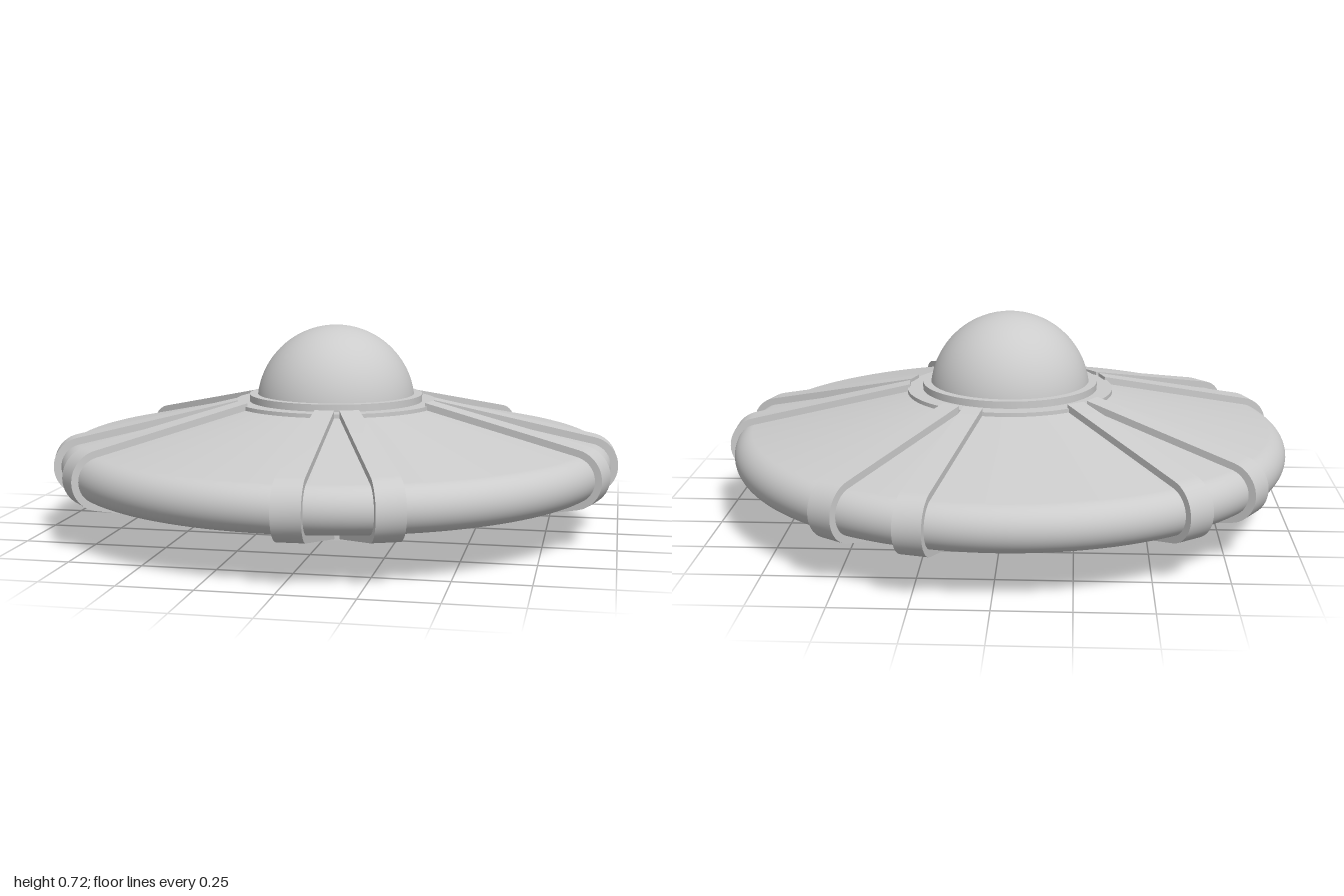
import * as THREE from 'three';
import { toCreasedNormals } from 'three/addons/utils/BufferGeometryUtils.js';

const material = new THREE.MeshStandardMaterial({ color: 0xcccccc });
const MID_Y = 0.24, RIM_R = 0.905, RIM = 0.08, SLOPE = THREE.MathUtils.degToRad(12);

// Half-section of the saucer, bottom to top, pushed out along its normal.
function section(startR, offset, arcSteps) {
  const arc = [];
  for (let i = 0; i <= arcSteps; i++) {
    const a = (SLOPE - Math.PI / 2) + (i / arcSteps) * (Math.PI - 2 * SLOPE);
    const r = RIM + offset;
    arc.push(new THREE.Vector2(RIM_R + r * Math.cos(a), MID_Y + r * Math.sin(a)));
  }
  const tip = arc[0];
  const lowY = tip.y - (tip.x - startR) * Math.tan(SLOPE);
  return [new THREE.Vector2(startR, lowY), ...arc, new THREE.Vector2(startR, 2 * MID_Y - lowY)];
}

function addMesh(parent, name, geometry) {
  const mesh = new THREE.Mesh(geometry, material);
  mesh.name = name;
  parent.add(mesh);
  return mesh;
}

function steppedLathe(points) {
  const profile = points.map(([r, y]) => new THREE.Vector2(r, y));
  return toCreasedNormals(new THREE.LatheGeometry(profile, 96), 0.6);
}

// Band wrapped over the rim; side is +1 or -1 within a pair spread about +x.
function strapGeometry(side) {
  const outer = section(0.36, 0.024, 20), inner = section(0.36, -0.015, 20);
  const lean = side * THREE.MathUtils.degToRad(10.2);
  const across = new THREE.Vector2(-Math.sin(lean), Math.cos(lean));
  const corner = ({ x: r, y }, edge) => {
    const p = side * (0.042 + (r - 0.36) * 0.178);
    const u = Math.sqrt(r * r - p * p);
    const half = edge * (0.034 + (r - 0.36) * 0.021);
    return [u + across.x * half, y, p + across.y * half];
  };
  const rings = outer.map((o, i) =>
    [corner(o, 1), corner(o, -1), corner(inner[i], -1), corner(inner[i], 1)]);
  const positions = [];
  const quad = (a, b, c, d) => positions.push(...a, ...b, ...c, ...a, ...c, ...d);
  for (let i = 0; i < rings.length - 1; i++) {
    const a = rings[i], b = rings[i + 1];
    for (let k = 0; k < 4; k++) {
      const n = (k + 1) % 4;
      quad(a[k], a[n], b[n], b[k]);
    }
  }
  // end caps
  const first = rings[0], last = rings[rings.length - 1];
  quad(first[3], first[2], first[1], first[0]);
  quad(last[0], last[1], last[2], last[3]);
  const geometry = new THREE.BufferGeometry();
  geometry.setAttribute('position', new THREE.Float32BufferAttribute(positions, 3));
  return toCreasedNormals(geometry, 0.6);
}

export function createModel() {
  const model = new THREE.Group();
  model.name = 'flyingSaucer';
  const body = new THREE.Group();
  body.name = 'saucerBody';
  body.position.set(-0.015, 0, -0.015);
  model.add(body);

  // main disc with rounded rim
  addMesh(body, 'hull', new THREE.LatheGeometry(section(0.33, 0, 24), 128));

  // stepped ring under the dome
  addMesh(body, 'domeCollar', steppedLathe([
    [0.367, 0.41], [0.367, 0.45], [0.312, 0.45], [0.312, 0.475], [0.26, 0.475],
  ]));

  // glass dome
  const dome = addMesh(body, 'dome',
    new THREE.SphereGeometry(0.285, 64, 24, 0, Math.PI * 2, 0, Math.PI / 2));
  dome.position.y = 0.437;

  // stepped base ring with a recessed hatch
  addMesh(body, 'baseRing', steppedLathe([
    [0, 0.12], [0.285, 0.12], [0.285, 0], [0.312, 0], [0.312, 0.028],
    [0.367, 0.028], [0.367, 0.07],
  ]));

  // five pairs of straps around the hull
  const straps = [strapGeometry(-1), strapGeometry(1)];
  for (let i = 0; i < 5; i++) {
    const pair = new THREE.Group();
    pair.name = `strapPair${i + 1}`;
    pair.rotation.y = -THREE.MathUtils.degToRad(6.3 + 72 * i);
    straps.forEach((geometry, k) => addMesh(pair, k ? 'strapB' : 'strapA', geometry));
    body.add(pair);
  }
  return model;
}
